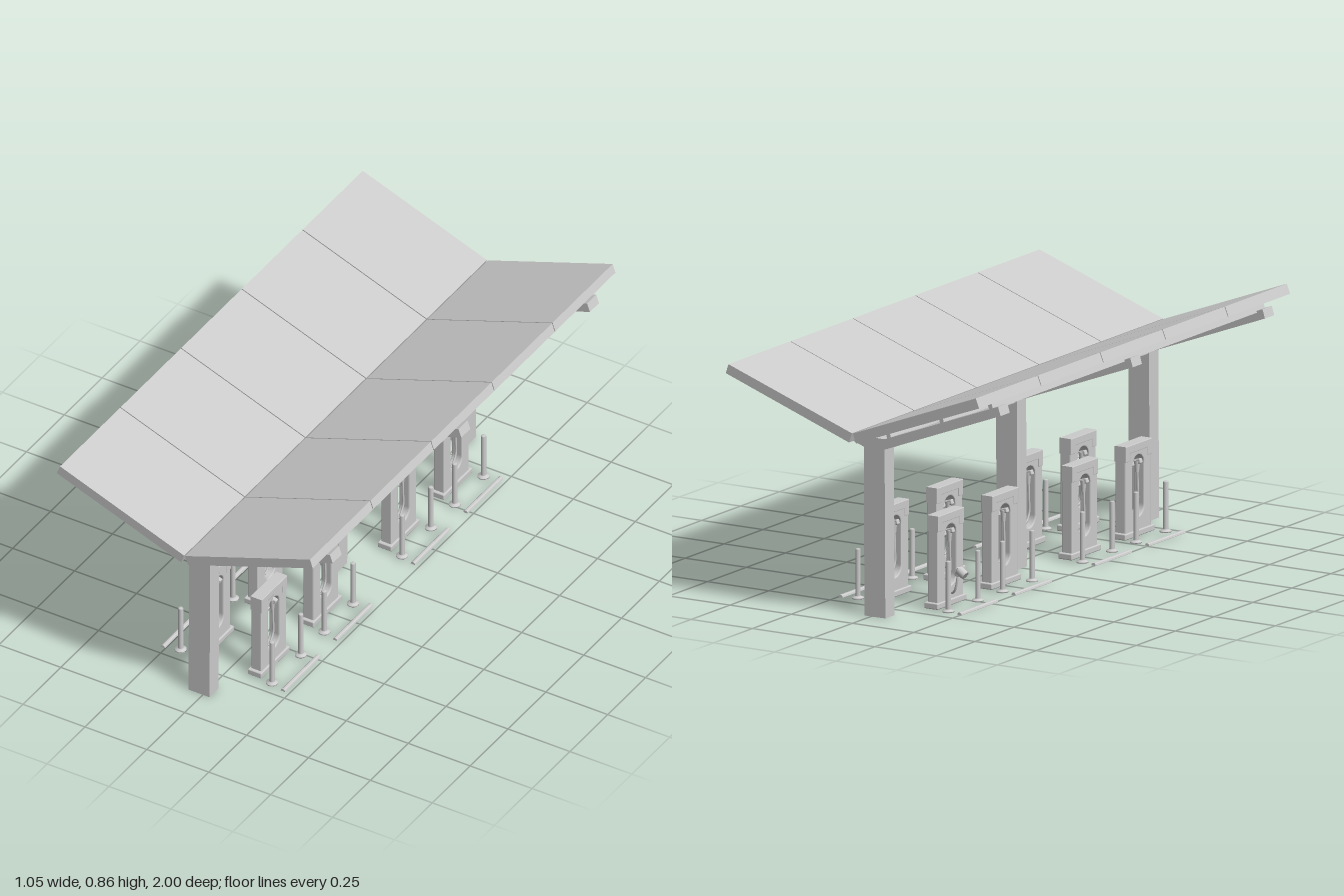
import * as THREE from 'three';
import { RoundedBoxGeometry } from 'three/addons/geometries/RoundedBoxGeometry.js';

const grey = new THREE.MeshStandardMaterial({ color: 0xcccccc });

function add(parent, name, geometry, x = 0, y = 0, z = 0) {
  const mesh = new THREE.Mesh(geometry, grey);
  mesh.name = name;
  mesh.position.set(x, y, z);
  parent.add(mesh);
  return mesh;
}

const polygon = (pts) => new THREE.Shape(pts.map(([x, y]) => new THREE.Vector2(x, y)));

// Profile in the front plane, extruded along z and centred on z = 0
function extrudeZ(shape, depth, bevel = 0) {
  const g = new THREE.ExtrudeGeometry(shape, {
    depth: depth - 2 * bevel, bevelEnabled: bevel > 0, bevelSize: bevel,
    bevelThickness: bevel, bevelOffset: -bevel, bevelSegments: 2, curveSegments: 12,
  });
  return g.translate(0, 0, -depth / 2 + bevel);
}

function stadium(path, r, y0, y1) {
  path.moveTo(r, y0 + r);
  path.lineTo(r, y1 - r);
  path.absarc(0, y1 - r, r, 0, Math.PI, false);
  path.lineTo(-r, y0 + r);
  path.absarc(0, y0 + r, r, Math.PI, Math.PI * 2, false);
  return path;
}

const tube = (pts, r, n = 32) => new THREE.TubeGeometry(
  new THREE.CatmullRomCurve3(pts.map((p) => new THREE.Vector3(...p))), n, r, 8);

function createCanopy() {
  const canopy = new THREE.Group();
  canopy.name = 'canopy';

  // Y-shaped frames: column with two raised arms
  const frame = extrudeZ(polygon([
    [-0.058, 0], [0.027, 0], [0.03, 0.598], [0.524, 0.768], [0.513, 0.80], [0.03, 0.635],
    [-0.055, 0.635], [-0.518, 0.81], [-0.528, 0.778], [-0.055, 0.598],
  ]), 0.06);
  for (const z of [-0.85, 0, 0.85]) add(canopy, 'supportFrame', frame, 0, 0, z);

  // Beam joining the column tops
  add(canopy, 'ridgeBeam', new THREE.BoxGeometry(0.075, 0.043, 1.7), -0.0125, 0.613, 0);

  // Five roof panels on each slope, with narrow joints
  const slopes = [
    [[-0.503, 0.862], [-0.517, 0.828], [-0.014, 0.639], [-0.002, 0.673]],
    [[0.014, 0.639], [0.517, 0.82], [0.506, 0.853], [0.002, 0.673]],
  ];
  for (const slope of slopes) {
    const panel = extrudeZ(polygon(slope), 0.397);
    for (let i = -2; i <= 2; i++) add(canopy, 'roofPanel', panel, 0, 0, i * 0.4008);
  }

  // Purlins between arms and panels
  const purlins = [
    [-0.483, 0.806, -0.36], [-0.283, 0.731, -0.36], [-0.067, 0.649, -0.36],
    [0.043, 0.645, 0.345], [0.275, 0.727, 0.345], [0.48, 0.798, 0.345],
  ];
  const purlin = new THREE.BoxGeometry(0.016, 0.03, 1.75);
  for (const [x, y, tilt] of purlins) add(canopy, 'purlin', purlin, x, y, 0).rotation.z = tilt;
  return canopy;
}

// Charging post, its broad face turned towards x
function createCharger() {
  const post = new THREE.Group();
  post.name = 'chargingPost';
  const w = 0.083;

  const bodyShape = polygon([[-w, 0.015], [w, 0.015], [w, 0.33], [-w, 0.33]]);
  bodyShape.holes.push(stadium(new THREE.Path(), 0.037, 0.072, 0.29));
  add(post, 'postBody', extrudeZ(bodyShape, 0.042, 0.004));

  const cap = polygon([
    [-w - 0.001, 0.277], [-0.055, 0.277], [-0.055, 0.305], [0.055, 0.305],
    [0.055, 0.277], [w + 0.001, 0.277], [w + 0.001, 0.333], [-w - 0.001, 0.333],
  ]);
  add(post, 'postCap', extrudeZ(cap, 0.047, 0.002));
  add(post, 'postBase', new RoundedBoxGeometry(0.19, 0.022, 0.056, 2, 0.004), 0, 0.015, 0);

  // Two holstered plugs joined by a hanging cable loop
  const plug = new THREE.CylinderGeometry(0.011, 0.007, 0.04, 12);
  for (const s of [-1, 1]) {
    add(post, 'holsteredPlug', plug, s * 0.024, 0.242, 0);
    const head = add(post, 'plugHead', new RoundedBoxGeometry(0.018, 0.018, 0.034, 2, 0.004), s * 0.027, 0.258, 0);
    head.rotation.x = 0.3;
  }
  add(post, 'cableLoop', tube([
    [-0.026, 0.235, 0], [-0.029, 0.17, 0], [-0.028, 0.11, 0], [0, 0.08, 0],
    [0.028, 0.11, 0], [0.029, 0.17, 0], [0.026, 0.235, 0],
  ], 0.004));
  post.rotation.y = Math.PI / 2;
  return post;
}

// Bollard with a round foot
function createBollard(height) {
  const bollard = new THREE.Group();
  bollard.name = 'bollard';
  const profile = [[0, 0.005], [0.021, 0.005], [0.021, 0.009], [0.011, 0.013], [0.0095, 0.016],
    [0.0095, height - 0.003], [0.007, height], [0, height]];
  add(bollard, 'bollardPost', new THREE.LatheGeometry(profile.map(([x, y]) => new THREE.Vector2(x, y)), 16));
  add(bollard, 'bollardUnderside', new THREE.CylinderGeometry(0.021, 0.021, 0.002, 16), 0, 0.005, 0);
  return bollard;
}

export function createModel() {
  const model = new THREE.Group();
  model.name = 'chargingStation';
  model.add(createCanopy());

  // Wheel stop with a chamfered top
  const stop = extrudeZ(polygon([
    [-0.009, 0.005], [0.009, 0.005], [0.007, 0.011], [0.003, 0.014], [-0.003, 0.014], [-0.007, 0.011],
  ]), 0.235);

  // Charging bays on both sides of the columns
  const sides = [
    { post: -0.126, bollard: -0.198, stop: -0.257, height: 0.184 },
    { post: 0.099, bollard: 0.171, stop: 0.228, height: 0.181 },
  ];
  for (const side of sides) {
    for (const z of [0.607, 0.262, -0.252, -0.6]) {
      const bay = new THREE.Group();
      bay.name = 'chargingBay';
      bay.position.z = z;
      const charger = createCharger();
      charger.position.x = side.post;
      bay.add(charger);
      for (const dz of [-0.095, 0.095]) {
        const bollard = createBollard(side.height);
        bollard.position.set(side.bollard, 0, dz);
        bay.add(bollard);
      }
      add(bay, 'wheelStop', stop, side.stop, 0, 0);
      model.add(bay);
    }
  }

  // One plug drawn out of its post, on a slack cable
  const loose = new THREE.Group();
  loose.name = 'loosePlug';
  add(loose, 'looseCable', tube([
    [-0.135, 0.14, -0.61], [-0.15, 0.09, -0.62], [-0.172, 0.06, -0.64],
    [-0.196, 0.068, -0.655], [-0.21, 0.1, -0.66], [-0.214, 0.135, -0.66],
  ], 0.004));
  add(loose, 'plugHandle', new THREE.CylinderGeometry(0.011, 0.009, 0.03, 12), -0.217, 0.14, -0.66).rotation.z = 0.5;
  add(loose, 'plugNozzle', new THREE.CylinderGeometry(0.016, 0.016, 0.032, 16), -0.232, 0.14, -0.66).rotation.z = -0.95;
  model.add(loose);
  return model;
}
